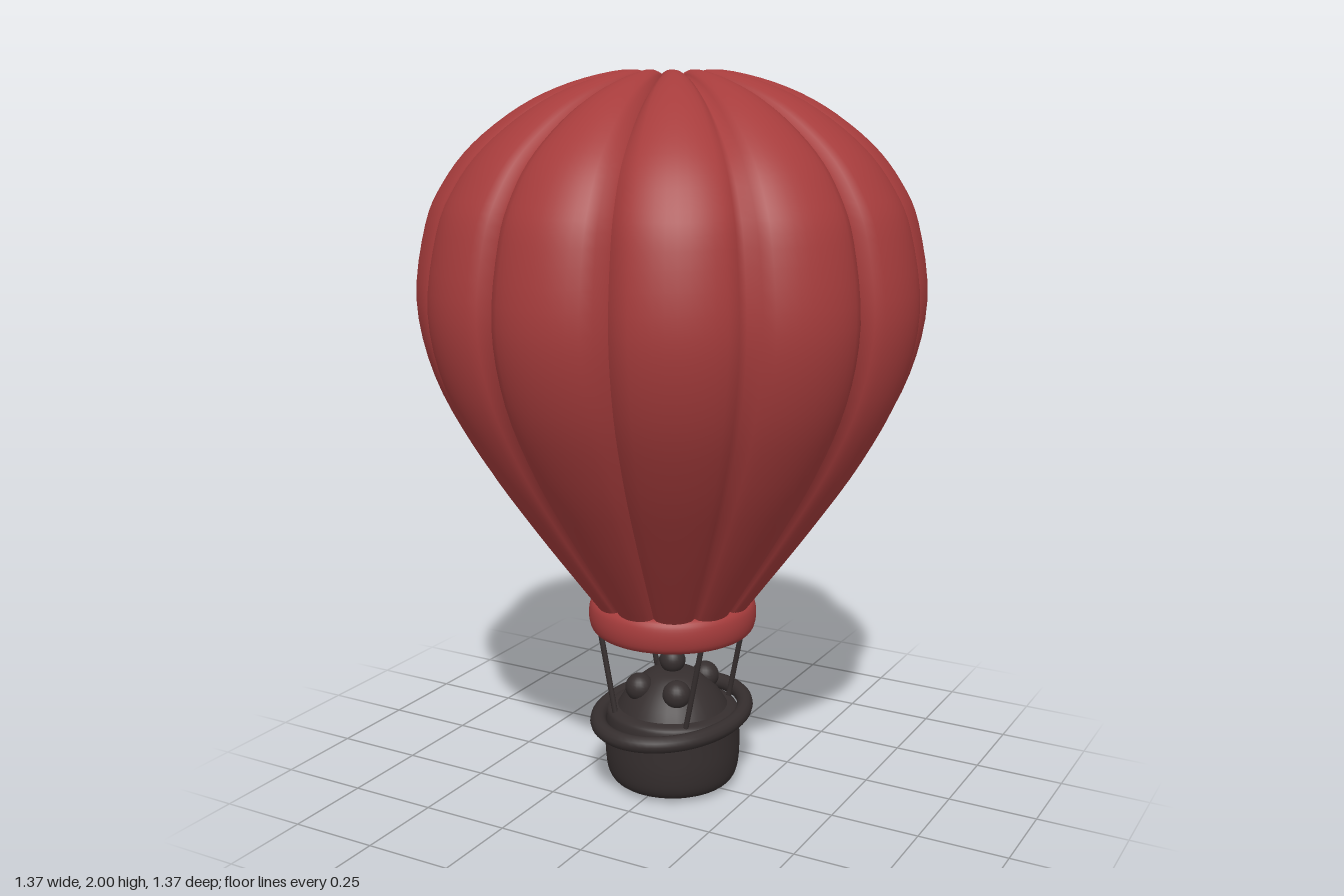
import * as THREE from 'three';

const LOBES = 12;
const v2 = (list) => list.map(([x, y]) => new THREE.Vector2(x, y));
const smooth = (list, n) => new THREE.SplineCurve(v2(list)).getPoints(n).map((p) => p.set(Math.max(p.x, 0), p.y));

// Envelope: a lathed profile pinched into twelve rounded gores
function envelopeGeometry() {
  const profile = smooth([
    [0.19, 0.5], [0.225, 0.55], [0.27, 0.61], [0.41, 0.8], [0.545, 1.0], [0.645, 1.2], [0.685, 1.4],
    [0.655, 1.6], [0.605, 1.71], [0.525, 1.81], [0.4, 1.905], [0.27, 1.965], [0.13, 1.998], [0.06, 1.985], [0, 1.965],
  ], 56);
  const geo = new THREE.LatheGeometry(profile, LOBES * 12, Math.PI / LOBES);
  const pos = geo.attributes.position;
  for (let i = 0; i < pos.count; i++) {
    const x = pos.getX(i), y = pos.getY(i), z = pos.getZ(i);
    const r = Math.hypot(x, z);
    const bulge = Math.abs(Math.cos(Math.atan2(x, z) * LOBES / 2));
    const groove = 1 - Math.sqrt(bulge);
    const k = 1 - 0.09 * groove;
    const dip = 0.025 * groove * THREE.MathUtils.smoothstep(y, 1.7, 1.95) * Math.min(1, r / 0.1);
    pos.setXYZ(i, x * k, y - dip, z * k);
  }
  geo.computeVertexNormals();
  return geo;
}

export function createModel() {
  const group = new THREE.Group();
  const red = new THREE.MeshStandardMaterial({ color: 0xa63c3c });
  red.name = 'red fabric';
  const dark = new THREE.MeshStandardMaterial({ color: 0x352e2e });
  dark.name = 'dark wicker';

  const add = (name, geo, mat, x = 0, y = 0, z = 0) => {
    const mesh = new THREE.Mesh(geo, mat);
    mesh.name = name;
    mesh.position.set(x, y, z);
    group.add(mesh);
    return mesh;
  };
  const rod = (name, a, b, r, mat) =>
    add(name, new THREE.TubeGeometry(new THREE.LineCurve3(new THREE.Vector3(...a), new THREE.Vector3(...b)), 1, r, 8), mat);

  add('envelope', envelopeGeometry(), red);

  // Rolled collar round the mouth
  add('collar', new THREE.LatheGeometry(smooth([
    [0.185, 0.5], [0.19, 0.47], [0.21, 0.461], [0.229, 0.475], [0.236, 0.51],
    [0.23, 0.545], [0.21, 0.56], [0.19, 0.55], [0.185, 0.5],
  ], 32), 64), red);

  // Dark inside of the mouth, facing inward and down
  add('lining', new THREE.LatheGeometry(smooth([[0, 0.68], [0.12, 0.67], [0.2, 0.6], [0.188, 0.5]], 12), 48), dark);

  // Burner hanging in the mouth
  add('burner', new THREE.LatheGeometry(v2([
    [0, 0.41], [0.05, 0.41], [0.058, 0.418], [0.06, 0.445], [0.07, 0.455], [0.07, 0.485], [0.062, 0.495], [0, 0.495],
  ]), 24), red);
  add('burnerStem', new THREE.CylinderGeometry(0.03, 0.03, 0.18, 16), dark, 0, 0.585, 0);
  rod('burnerBar', [-0.19, 0.5, 0], [0.19, 0.5, 0], 0.008, dark);

  // Round basket with softened base
  add('basket', new THREE.LatheGeometry(smooth([
    [0, 0.005], [0.1, 0.003], [0.155, 0.01], [0.182, 0.035], [0.192, 0.09], [0.192, 0.16],
    [0.19, 0.21], [0.18, 0.228], [0.15, 0.235], [0.08, 0.235], [0, 0.235],
  ], 48), 48), dark);

  // Oval hoop, longer from front to back
  const hoop = [];
  for (let i = 0; i < 24; i++) {
    const a = (i / 24) * Math.PI * 2;
    hoop.push(new THREE.Vector3(0.193 * Math.cos(a), 0.212, 0.258 * Math.sin(a)));
  }
  add('hoop', new THREE.TubeGeometry(new THREE.CatmullRomCurve3(hoop, true), 72, 0.023, 12, true), dark);

  // Load heaped in the basket
  add('load', new THREE.LatheGeometry(smooth([
    [0.165, 0.22], [0.14, 0.26], [0.105, 0.3], [0.06, 0.332], [0, 0.34],
  ], 20), 32), dark);
  for (const x of [-1, 1]) for (const z of [-1, 1]) {
    add('bundle', new THREE.SphereGeometry(0.04, 20, 14), dark, x * 0.06, 0.3, z * 0.085);
    // Ropes from collar to basket
    rod('rope', [x * 0.165, 0.49, z * 0.13], [x * 0.112, 0.22, z * 0.13], 0.008, dark);
  }
  add('topBundle', new THREE.SphereGeometry(0.037, 24, 16), dark, 0, 0.364, 0);

  return group;
}
